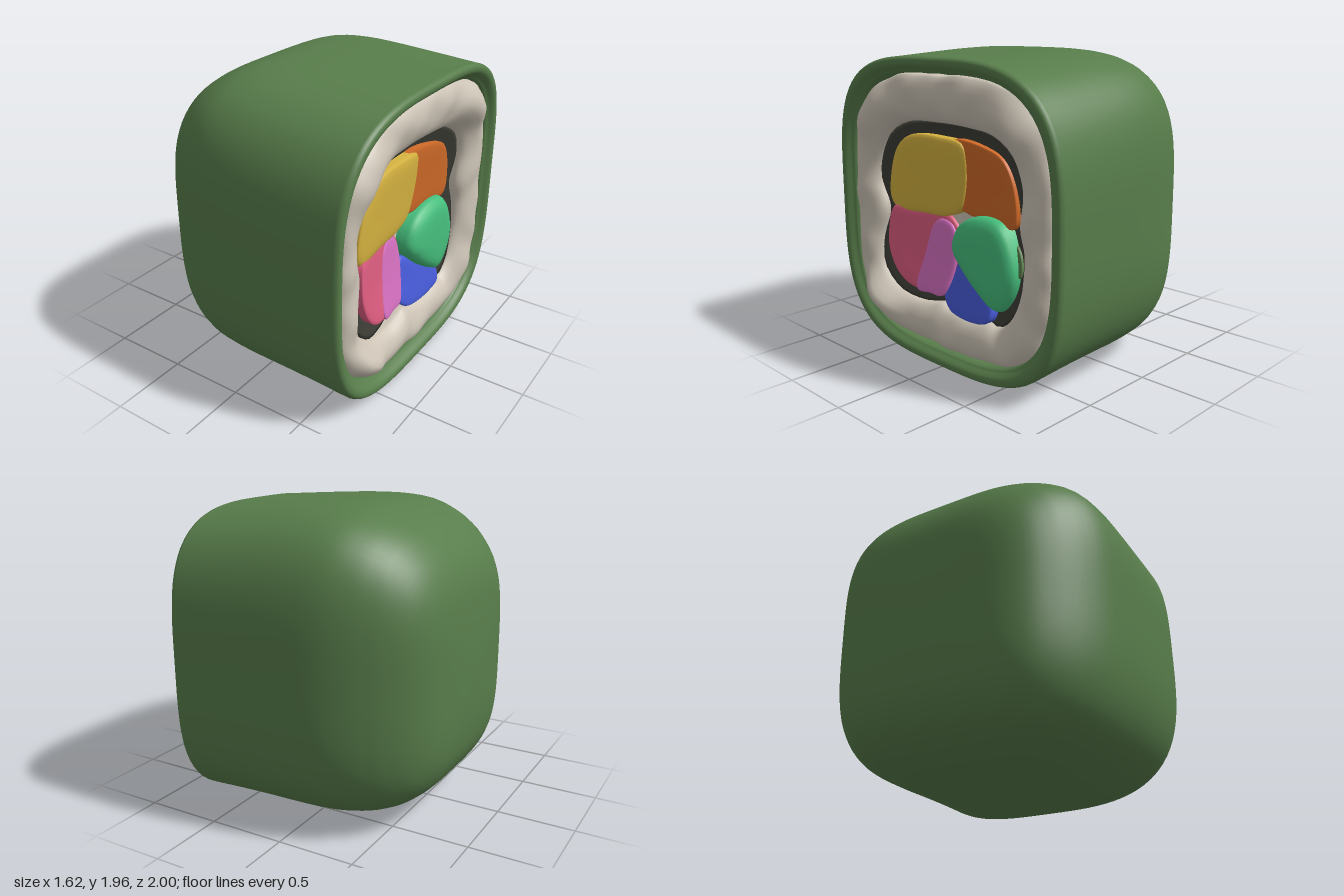
import * as THREE from 'three';

const mat = (name, color) => Object.assign(new THREE.MeshStandardMaterial({ color }), { name });
const M = {
  wrap: mat('wrapper green', 0x587d4b),
  rice: mat('rice white', 0xcdc4b6),
  nori: mat('inner seaweed', 0x3c3c35),
  yellow: mat('yellow', 0xd5b240),
  orange: mat('orange', 0xcf6a28),
  pink: mat('pink', 0xdc5c7f),
  violet: mat('violet', 0xd570c0),
  green: mat('emerald', 0x46bf7d),
  blue: mat('blue', 0x465ad6),
};

// Skin a list of closed rings (same point count) with smooth normals
function loft(name, material, rings) {
  const n = rings[0].length, pos = [], idx = [];
  rings.forEach(r => r.forEach(p => pos.push(p.x, p.y, p.z)));
  for (let i = 0; i < rings.length - 1; i++) {
    for (let j = 0; j < n; j++) {
      const a = i * n + j, d = i * n + (j + 1) % n, b = a + n, c = d + n;
      idx.push(a, b, d, b, c, d);
    }
  }
  const g = new THREE.BufferGeometry();
  g.setAttribute('position', new THREE.Float32BufferAttribute(pos, 3));
  g.setIndex(idx);
  g.computeVertexNormals();
  const mesh = new THREE.Mesh(g, material);
  mesh.name = name;
  return mesh;
}

// Rounded-square radius in direction a
const squircle = (a, n) => Math.pow(Math.abs(Math.cos(a)) ** n + Math.abs(Math.sin(a)) ** n, -1 / n);

// Smooth closed outline from [z, y] points, always running from +z towards +y
function outline(pts, count) {
  const v = pts.map(([z, y]) => new THREE.Vector3(0, y, z));
  if (THREE.ShapeUtils.area(pts.map(([x, y]) => ({ x, y }))) < 0) v.reverse();
  return new THREE.CatmullRomCurve3(v, true, 'centripetal').getSpacedPoints(count).slice(0, count);
}

// Shallow bowl that the fillings sit in
const bowl = p => 0.3 * (p.z ** 2 + (p.y - 0.93) ** 2) - 0.07;

// Domed filling: side wall, rounded shoulder, then a gentle crown; dish = how far it follows the bowl
function filling(name, material, pts, edge, height, dish = 1) {
  const o = outline(pts, 64);
  const c = o.reduce((s, p) => s.add(p), new THREE.Vector3()).divideScalar(o.length);
  const profile = [[1, 0.5], [1, edge], [0.97, edge + height * 0.35], [0.9, edge + height * 0.65],
    [0.75, edge + height * 0.85], [0.6, edge + height * 0.93], [0.4, edge + height * 0.98],
    [0.2, edge + height], [0, edge + height]];
  return loft(name, material, profile.map(([s, x]) => o.map(p => {
    const q = p.clone().lerp(c, 1 - s);
    return q.setX(x + dish * bowl(q));
  })));
}

// Wrapper: x, bottom, top, half depth, smoothed along its length
function wrapper() {
  const stations = [
    [-0.81, 0.88, 0.88, 0], [-0.805, 0.65, 1.12, 0.23], [-0.785, 0.46, 1.37, 0.43],
    [-0.75, 0.34, 1.53, 0.57], [-0.68, 0.225, 1.66, 0.69], [-0.58, 0.14, 1.77, 0.785],
    [-0.5, 0.1, 1.83, 0.84], [-0.4, 0.07, 1.885, 0.895], [-0.25, 0.045, 1.94, 0.95],
    [-0.05, 0.03, 1.96, 0.98], [0.2, 0.02, 1.955, 0.995], [0.5, 0.01, 1.935, 1],
    [0.7, 0, 1.92, 1], [0.735, 0.003, 1.918, 0.998], [0.755, 0.015, 1.905, 0.985],
    [0.76, 0.035, 1.885, 0.965], [0.753, 0.057, 1.863, 0.943], [0.725, 0.08, 1.84, 0.915],
    [0.69, 0.1, 1.82, 0.88], [0.48, 0.14, 1.78, 0.82], [0.48, 0.95, 0.96, 0.005],
  ];
  const along = new THREE.CatmullRomCurve3(stations.map(s => new THREE.Vector3(s[0], 0, 0)), false, 'catmullrom');
  const size = new THREE.CatmullRomCurve3(stations.map(s => new THREE.Vector3(s[1], s[2], s[3])), false, 'catmullrom');
  const steps = (stations.length - 1) * 3, rings = [];
  for (let i = 0; i <= steps; i++) {
    const { x } = along.getPoint(i / steps), { x: lo, y: hi, z: hz } = size.getPoint(i / steps);
    const n = 3.8 - 0.4 * THREE.MathUtils.smoothstep(x, -0.5, 0.4), ring = [];
    for (let j = 0; j < 120; j++) {
      const a = j / 120 * Math.PI * 2, r = squircle(a, n);
      const y = (lo + hi) / 2 + (hi - lo) / 2 * r * Math.sin(a);
      const lean = Math.max(0, x) * (y > 1 ? 0.055 : 0.012) * (y - 1) ** 2;
      ring.push(new THREE.Vector3(x + lean, y, hz * r * Math.cos(a)));
    }
    rings.push(ring);
  }
  return loft('wrapper', M.wrap, rings);
}

const INNER = [[0.69, 1.1], [0.66, 1.25], [0.55, 1.42], [0.4, 1.5], [0.1, 1.52], [-0.2, 1.51],
  [-0.4, 1.48], [-0.56, 1.38], [-0.63, 1.2], [-0.61, 1], [-0.64, 0.85], [-0.63, 0.65],
  [-0.55, 0.45], [-0.43, 0.35], [-0.34, 0.355], [-0.2, 0.34], [0, 0.35], [0.08, 0.375], [0.15, 0.36],
  [0.3, 0.34], [0.5, 0.38], [0.65, 0.52], [0.68, 0.7], [0.64, 0.9]];

// Lumpy rice ring between the wrapper and the inner seaweed
function rice() {
  const inner = outline(INNER, 180);
  const lumps = [[-0.64, 1.6, 0.07], [0.62, 1.52, 0.06], [0.6, 0.3, 0.07], [-0.66, 0.34, 0.02]];
  const profile = [[0, 0.6], [0, 0.69], [0.04, 0.708], [0.15, 0.728], [0.3, 0.738], [0.45, 0.738],
    [0.6, 0.73], [0.75, 0.715], [0.88, 0.695], [0.97, 0.67], [1, 0.645], [1, 0.5]];
  return loft('rice', M.rice, profile.map(([t, x]) => inner.map(p => {
    const a = Math.atan2(p.y - 0.96, p.z);
    const r = squircle(a, 3.6) * (1 + 0.004 * Math.sin(a * 23) + 0.006 * Math.sin(a * 11 + 1));
    const q = new THREE.Vector3(0, 0.96 + 0.85 * r * Math.sin(a), 0.885 * r * Math.cos(a)).lerp(p, t);
    let bump = 0.012 * Math.sin(q.z * 13 + 2 * Math.sin(q.y * 6)) * Math.sin(q.y * 11 + 1)
      + 0.004 * Math.sin(q.z * 21 + q.y * 15);
    for (const [z, y, h] of lumps) bump += h * Math.exp(-((q.z - z) ** 2 + (q.y - y) ** 2) / 0.026);
    q.x = x + bump * Math.sin(Math.PI * Math.min(1, t * 0.92 + 0.06));
    return q;
  })));
}

export function createModel() {
  const g = new THREE.Group();
  g.name = 'stuffedRoll';
  g.add(wrapper(), rice());

  // Recessed floor and the grains in the middle
  g.add(filling('innerSeaweed', M.nori, INNER, 0.565, 0.004));
  g.add(filling('centreRice', M.rice, [[0.14, 0.92], [0, 1.02], [-0.14, 0.95], [-0.1, 0.75], [0.04, 0.7]], 0.595, 0.015));
  g.add(filling('leafSliver', M.wrap, [[-0.5, 0.86], [-0.56, 0.82], [-0.592, 0.73], [-0.575, 0.68], [-0.5, 0.7]], 0.58, 0.01));

  // Fillings
  g.add(filling('yellowFilling', M.yellow, [[0.61, 0.98], [0.6, 1.14], [0.52, 1.33], [0.38, 1.42],
    [0.1, 1.43], [-0.09, 1.4], [-0.115, 1.3], [-0.09, 1.1], [-0.03, 0.98], [0.1, 0.93], [0.3, 0.92], [0.56, 0.92]], 0.62, 0.03, 0.3));
  g.add(filling('orangeFilling', M.orange, [[0.05, 1.4], [-0.3, 1.4], [-0.45, 1.34], [-0.53, 1.18],
    [-0.52, 0.96], [-0.3, 0.97], [-0.1, 0.97], [0.05, 1.04]], 0.61, 0.015, 0.4));
  g.add(filling('pinkFilling', M.pink, [[0.56, 0.935], [0.605, 0.75], [0.58, 0.62], [0.5, 0.5], [0.38, 0.43],
    [0.25, 0.42], [0.06, 0.45], [-0.01, 0.66], [0.01, 0.82], [0.12, 0.93], [0.35, 0.94]], 0.62, 0.025));
  g.add(filling('violetFilling', M.violet, [[0.23, 0.86], [0.17, 0.9], [0.07, 0.87], [0.015, 0.74],
    [0.03, 0.55], [0.09, 0.42], [0.2, 0.415], [0.315, 0.425], [0.29, 0.65]], 0.637, 0.02));
  g.add(filling('blueFilling', M.blue, [[-0.01, 0.68], [0.05, 0.52], [0.085, 0.42], [0, 0.34],
    [-0.2, 0.325], [-0.37, 0.38], [-0.36, 0.5], [-0.15, 0.62]], 0.62, 0.025));
  g.add(filling('emeraldFilling', M.green, [[0, 0.76], [-0.03, 0.87], [-0.12, 0.95], [-0.3, 0.995],
    [-0.44, 0.97], [-0.53, 0.83], [-0.565, 0.65], [-0.5, 0.5], [-0.4, 0.435], [-0.25, 0.51], [-0.08, 0.65]], 0.62, 0.08, 0.1));
  return g;
}
